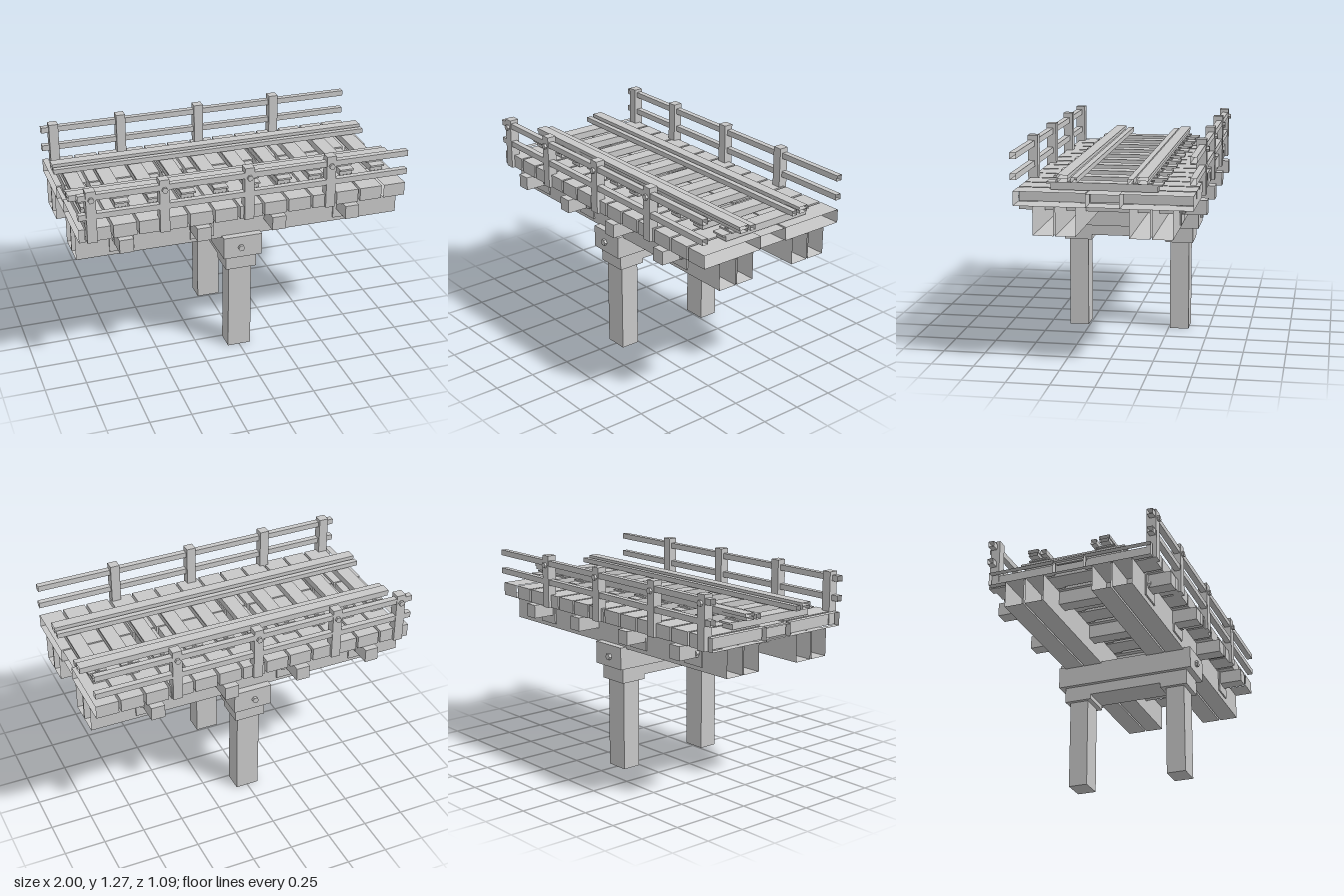
import * as THREE from 'three';

// Double-sided because girders, rails and end planks are open at their cut ends
const grey = new THREE.MeshStandardMaterial({ color: 0xc8c8c8, side: THREE.DoubleSide });
grey.name = 'weathered grey';

export function createModel() {
  const model = new THREE.Group();
  model.name = 'trestleBridge';

  // Box given by its lower and upper limits on each axis; open leaves off the two x ends
  function box(name, x0, x1, y0, y1, z0, z1, open = false) {
    const g = new THREE.BoxGeometry(x1 - x0, y1 - y0, z1 - z0);
    if (open) {
      g.setIndex(Array.from(g.index.array).slice(12));
      g.clearGroups();
    }
    const m = new THREE.Mesh(g, grey);
    m.name = name;
    m.position.set((x0 + x1) / 2, (y0 + y1) / 2, (z0 + z1) / 2);
    model.add(m);
  }

  // The same box on both long sides
  function pair(name, x0, x1, y0, y1, z0, z1, open) {
    box(name, x0, x1, y0, y1, z0, z1, open);
    box(name, x0, x1, y0, y1, -z1, -z0, open);
  }

  // Hexagonal bolt heads pointing outwards on both long sides
  function bolts(name, x, y, z0, z1, r = 0.018) {
    for (const s of [1, -1]) {
      const g = new THREE.CylinderGeometry(r, r, z1 - z0, 6).toNonIndexed();
      g.computeVertexNormals();
      const m = new THREE.Mesh(g, grey);
      m.name = name;
      m.rotation.set(Math.PI / 2, Math.PI / 6, 0);
      m.position.set(x, y, s * (z0 + z1) / 2);
      model.add(m);
    }
  }

  // Pier: legs, stepped lower cap and upper cap
  pair('pierLeg', -0.072, 0.072, 0, 0.556, 0.258, 0.375);
  pair('pierCapStep', -0.095, 0.095, 0.556, 0.586, 0.23, 0.4);
  box('lowerPierCap', -0.095, 0.095, 0.586, 0.651, -0.4, 0.4);
  box('upperPierCap', -0.12, 0.118, 0.651, 0.787, -0.435, 0.435);
  bolts('pierBolt', -0.013, 0.715, 0.43, 0.452, 0.02);

  // Paired girders with open ends
  pair('outerGirder', -1, 1, 0.776, 0.941, 0.275, 0.392, true);
  pair('innerGirder', -1, 1, 0.776, 0.941, 0.15, 0.265, true);

  // Cross beams through the girders, with thin side plates
  for (const x of [-0.735, -0.275, 0.185, 0.645])
    box('crossBeam', x - 0.042, x + 0.042, 0.858, 0.941, -0.545, 0.545);
  for (const x of [-0.73, -0.245, 0.655])
    pair('girderPlate', x - 0.073, x + 0.073, 0.803, 0.941, 0.396, 0.405);
  for (const x of [-0.77, -0.7, -0.205, 0.695])
    bolts('plateBolt', x, 0.881, 0.392, 0.424);

  // Deck planks: two sides and a slightly lower centre piece; the end planks are cut open
  for (let i = 0; i < 14; i++) {
    const x1 = 1 - i * 0.151;
    const x0 = Math.max(x1 - 0.137, -1);
    const open = i === 0 || i === 13;
    pair('deckPlank', x0, x1, 0.941, 1.022, 0.095, 0.503, open);
    box('centrePlank', x0, x1 - 0.012, 0.941, 1.014, -0.095, 0.095, open);
  }

  // Sleepers with top plates, rail chairs and chair studs
  for (let i = 0; i < 10; i++) {
    const x = -0.9 + i * 0.2;
    box('sleeper', x - 0.04, x + 0.04, 1.027, 1.06, -0.3, 0.3);
    box('sleeperPlate', x - 0.043, x + 0.043, 1.06, 1.071, -0.325, 0.325);
    pair('railChair', x - 0.055, x + 0.055, 1.071, 1.08, 0.155, 0.27);
    pair('chairStud', x - 0.012, x + 0.012, 1.08, 1.086, 0.256, 0.267);
    pair('chairStud', x - 0.012, x + 0.012, 1.08, 1.086, 0.158, 0.17);
  }

  // Running rails and inner guard rails, open at the ends
  pair('railFoot', -1, 1, 1.08, 1.1, 0.195, 0.25, true);
  pair('railHead', -1, 1, 1.1, 1.12, 0.19, 0.255, true);
  pair('guardRail', -1, 1, 1.078, 1.108, 0.14, 0.174, true);

  // Side railing
  [-0.925, -0.5, 0.007, 0.512].forEach((x, i) => {
    pair('railingPost', x - 0.029, x + 0.029, 0.941, i ? 1.268 : 1.258, 0.464, 0.522);
    bolts('railingBolt', x, 1.208, 0.52, 0.537);
  });
  pair('topHandrail', -1, 1, 1.203, 1.238, 0.482, 0.518, true);
  pair('lowerHandrail', -1, 1, 1.085, 1.12, 0.482, 0.518, true);

  return model;
}
